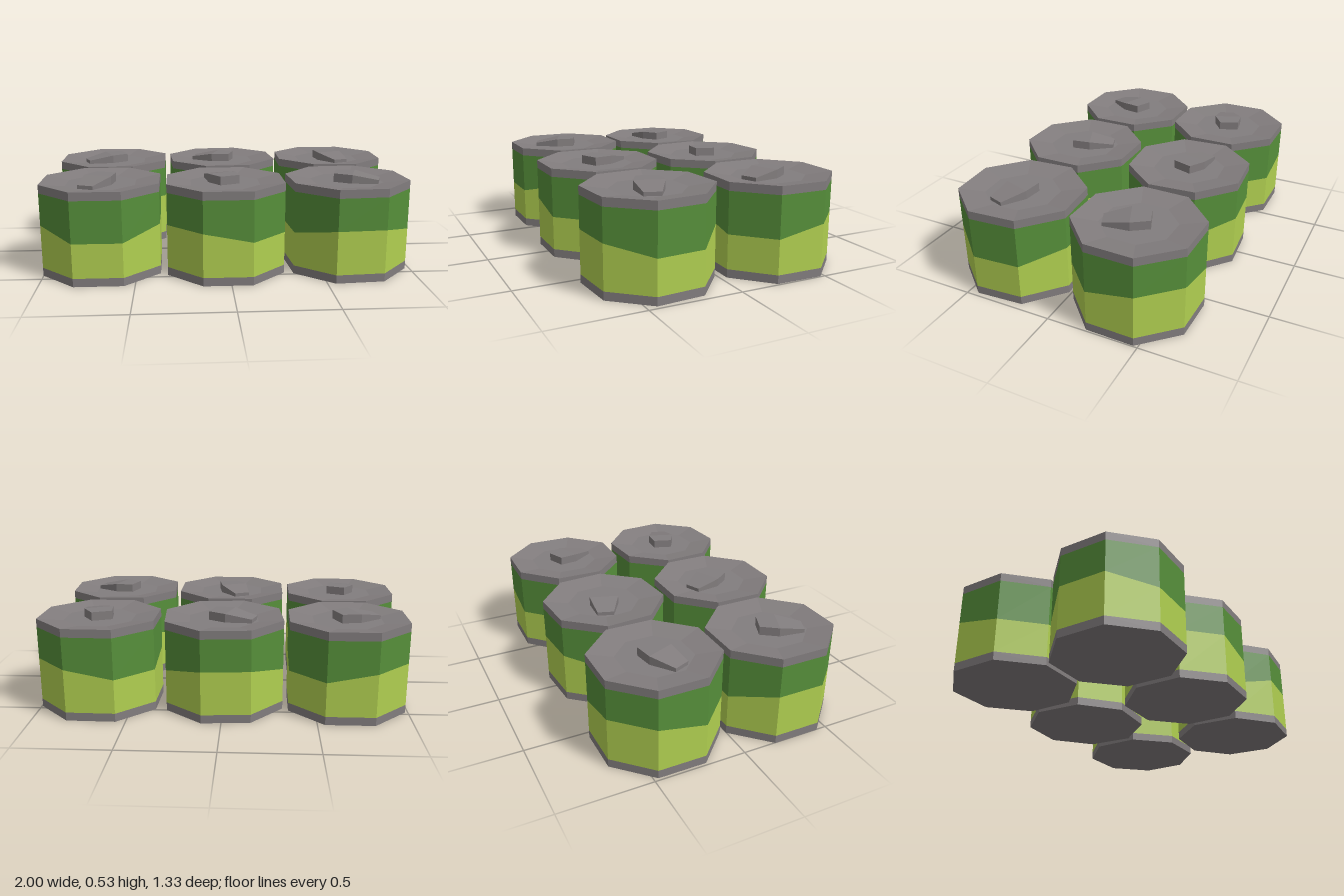
import * as THREE from 'three';

const R = 0.341;
const mat = (name, color) => Object.assign(new THREE.MeshStandardMaterial({ color }), { name });

// Faceted look: split the faces and give each its own normal
function facet(geometry) {
  const g = geometry.index ? geometry.toNonIndexed() : geometry;
  g.computeVertexNormals();
  return g;
}

// Eight-sided wall whose lower and upper edge heights depend on the corner index
function band(low, high) {
  const g = new THREE.CylinderGeometry(R, R, 1, 8, 1, true);
  const p = g.attributes.position;
  for (let i = 0; i < p.count; i++) {
    const k = (Math.round(Math.atan2(-p.getZ(i), p.getX(i)) / (Math.PI / 4)) + 8) % 8;
    p.setY(i, p.getY(i) > 0 ? high(k) : low(k));
  }
  return facet(g);
}

function turned(points) {
  return facet(new THREE.LatheGeometry(points.map(([x, y]) => new THREE.Vector2(x, y)), 8));
}

// One tapered slab of the pull tab between two widths, with its own end heights
function tabPiece(x0, w0, h0, x1, w1, h1) {
  const shape = new THREE.Shape([[x0, -w0], [x1, -w1], [x1, w1], [x0, w0]]
    .map(([x, y]) => new THREE.Vector2(x, y)));
  const g = new THREE.ExtrudeGeometry(shape, { depth: 1, bevelEnabled: false });
  g.rotateX(-Math.PI / 2);
  const p = g.attributes.position;
  for (let i = 0; i < p.count; i++) {
    const top = Math.abs(p.getX(i) - x0) < 1e-4 ? h0 : h1;
    p.setY(i, p.getY(i) > 0.5 ? top : 0.478);
  }
  return facet(g);
}

export function createModel() {
  const metal = mat('grey metal', 0x827d7e);
  const lime = mat('lime green', 0xb0cf50);
  const green = mat('dark green', 0x568f3a);

  // Wavy line where the two greens meet
  const wave = (k) => (k % 4 < 2 ? 0.23 : 0.28);
  const parts = [
    ['base', turned([[0, 0], [R, 0], [R, 0.045]]), metal],
    ['lowerWall', band(() => 0.045, wave), lime],
    ['upperWall', band(wave, () => 0.455), green],
    ['lid', turned([[R, 0.455], [R, 0.5], [0.2, 0.48], [0, 0.48]]), metal],
    ['tabGrip', tabPiece(-0.038, 0.08, 0.527, 0.064, 0.056, 0.527), metal],
    ['tabNose', tabPiece(-0.176, 0.045, 0.5, -0.038, 0.08, 0.527), metal],
  ];

  // Six cans: x, z and turn in degrees
  const model = new THREE.Group();
  model.name = 'sixCans';
  [
    [-0.67, -0.345, 22.5], [0, -0.345, -18], [0.677, -0.352, 111.4],
    [-0.687, 0.313, 67.5], [-0.018, 0.342, -67.5], [0.653, 0.337, 161.5],
  ].forEach(([x, z, turn], i) => {
    const can = new THREE.Group();
    can.name = `can${i + 1}`;
    for (const [name, geometry, material] of parts) {
      const mesh = new THREE.Mesh(geometry, material);
      mesh.name = name;
      can.add(mesh);
    }
    can.position.set(x, 0, z);
    can.rotation.y = THREE.MathUtils.degToRad(turn);
    model.add(can);
  });
  return model;
}
